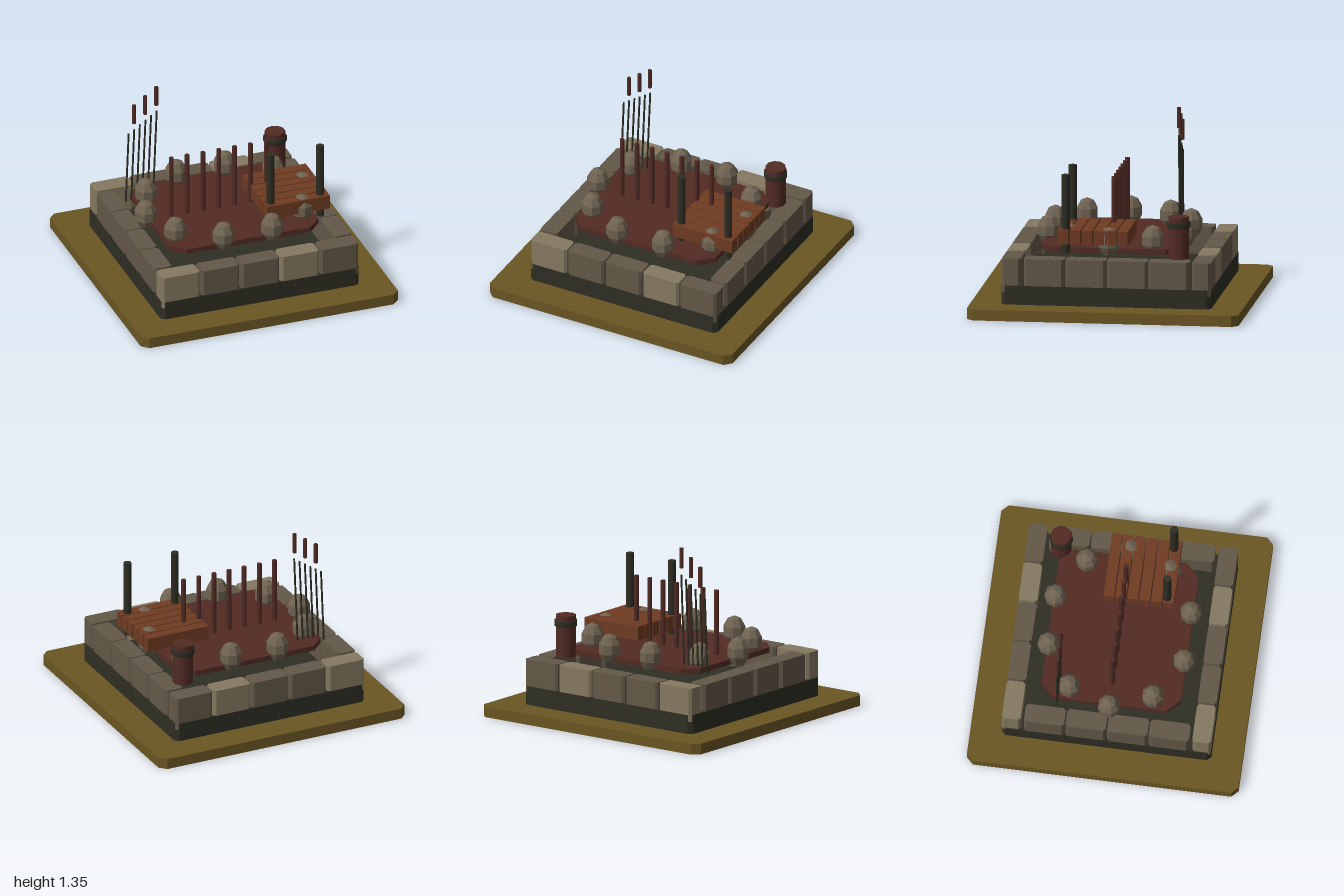
import * as THREE from 'three';

const mat = (name, color) => {
  const m = new THREE.MeshStandardMaterial({ color });
  m.name = name;
  return m;
};

// Upright slab with cut corners in plan
function slab(w, d, h, c) {
  const x = w / 2, z = d / 2;
  const s = new THREE.Shape([
    [-x + c, -z], [x - c, -z], [x, -z + c], [x, z - c],
    [x - c, z], [-x + c, z], [-x, z - c], [-x, -z + c],
  ].map(([a, b]) => new THREE.Vector2(a, b)));
  return new THREE.ExtrudeGeometry(s, { depth: h, bevelEnabled: false }).rotateX(-Math.PI / 2);
}

export function createModel() {
  const root = new THREE.Group();
  const earth = mat('olive earth', 0x6b5623);
  const dark = mat('dark moss', 0x2e2e24);
  const stone = mat('grey brown stone', 0x635848);
  const paleStone = mat('pale stone', 0x857960);
  const rockMat = mat('rock', 0x6f6351);
  const red = mat('dark red wood', 0x522b24);
  const plankMat = mat('orange brown plank', 0x6f3b22);

  const add = (name, geo, material, x = 0, y = 0, z = 0, parent = root) => {
    const m = new THREE.Mesh(geo, material);
    m.name = name;
    m.position.set(x, y, z);
    parent.add(m);
    return m;
  };
  const group = (name) => {
    const g = new THREE.Group();
    g.name = name;
    root.add(g);
    return g;
  };
  const rod = (r, h, sides) => new THREE.CylinderGeometry(r, r, h, sides);

  // Ground, foundation and raised platform
  add('ground', slab(2, 2, 0.08, 0.05), earth);
  add('foundation', slab(1.542, 1.542, 0.14, 0.03), dark, 0, 0.08, 0);
  add('platform', slab(1.16, 1.03, 0.04, 0.1), red, 0, 0.44, 0);

  // Stone block wall: five along front and back, four on each side
  const wall = group('wall');
  const longBlock = slab(0.296, 0.138, 0.25, 0.018);
  const sideBlock = slab(0.138, 0.296, 0.25, 0.018);
  for (const s of [-1, 1]) {
    for (let i = 0; i < 5; i++) {
      add('wallBlock', longBlock, i % 3 === 0 ? paleStone : stone, (i - 2) * 0.308, 0.17, s * 0.7, wall);
    }
    for (let i = 0; i < 4; i++) {
      add('sideBlock', sideBlock, stone, s * 0.7, 0.17, (i - 1.5) * 0.306, wall);
    }
  }

  // Ring of faceted rocks
  const rocks = group('rocks');
  const rockGeo = new THREE.SphereGeometry(0.085, 8, 5).scale(1, 1.33, 1).toNonIndexed();
  rockGeo.computeVertexNormals();
  for (let i = 0; i < 10; i++) {
    const a = (i / 10) * Math.PI * 2;
    const m = add('rock', rockGeo, rockMat, Math.cos(a) * 0.61, 0.532, Math.sin(a) * 0.525, rocks);
    m.rotation.y = i * 0.7;
  }

  // Row of stakes across the middle
  const stakes = group('stakes');
  for (let i = 0; i < 7; i++) {
    add('stake', rod(0.018, 0.53, 6), red, -0.41 + i * 0.123, 0.7, 0, stakes);
  }

  // Plank deck with two tall posts
  const deck = group('deck');
  const plankGeo = new THREE.BoxGeometry(0.49, 0.105, 0.078);
  for (let i = 0; i < 6; i++) {
    add('plank', plankGeo, plankMat, 0.445, 0.573, -0.11 + i * 0.0875, deck);
  }
  for (const x of [0.245, 0.63]) {
    add('post', rod(0.03, 0.58, 8), dark, x, 0.74, 0.315, deck);
  }

  // Barrel with a dark hoop
  const barrel = group('barrel');
  add('barrelBody', rod(0.076, 0.31, 10), red, 0.585, 0.575, -0.51, barrel);
  add('barrelHoop', new THREE.LatheGeometry(
    [[0.076, 0], [0.086, 0], [0.086, 0.042], [0.076, 0.042]].map((p) => new THREE.Vector2(...p)), 10),
  dark, 0.585, 0.65, -0.51, barrel);

  // Leaning reeds with floating seed heads
  const reeds = group('reeds');
  for (let i = 0; i < 6; i++) {
    const top = 1 + i * 0.03, h = top - 0.44, x = -0.6 + i * 0.043;
    const m = add('reed', rod(0.007, h, 6), dark, x - 0.011, 0.44 + h / 2, -0.383, reeds);
    m.rotation.z = -0.04;
    if (i % 2) add('reedHead', rod(0.015, 0.152, 6), red, x, top + 0.125, -0.383, reeds);
  }
  return root;
}
